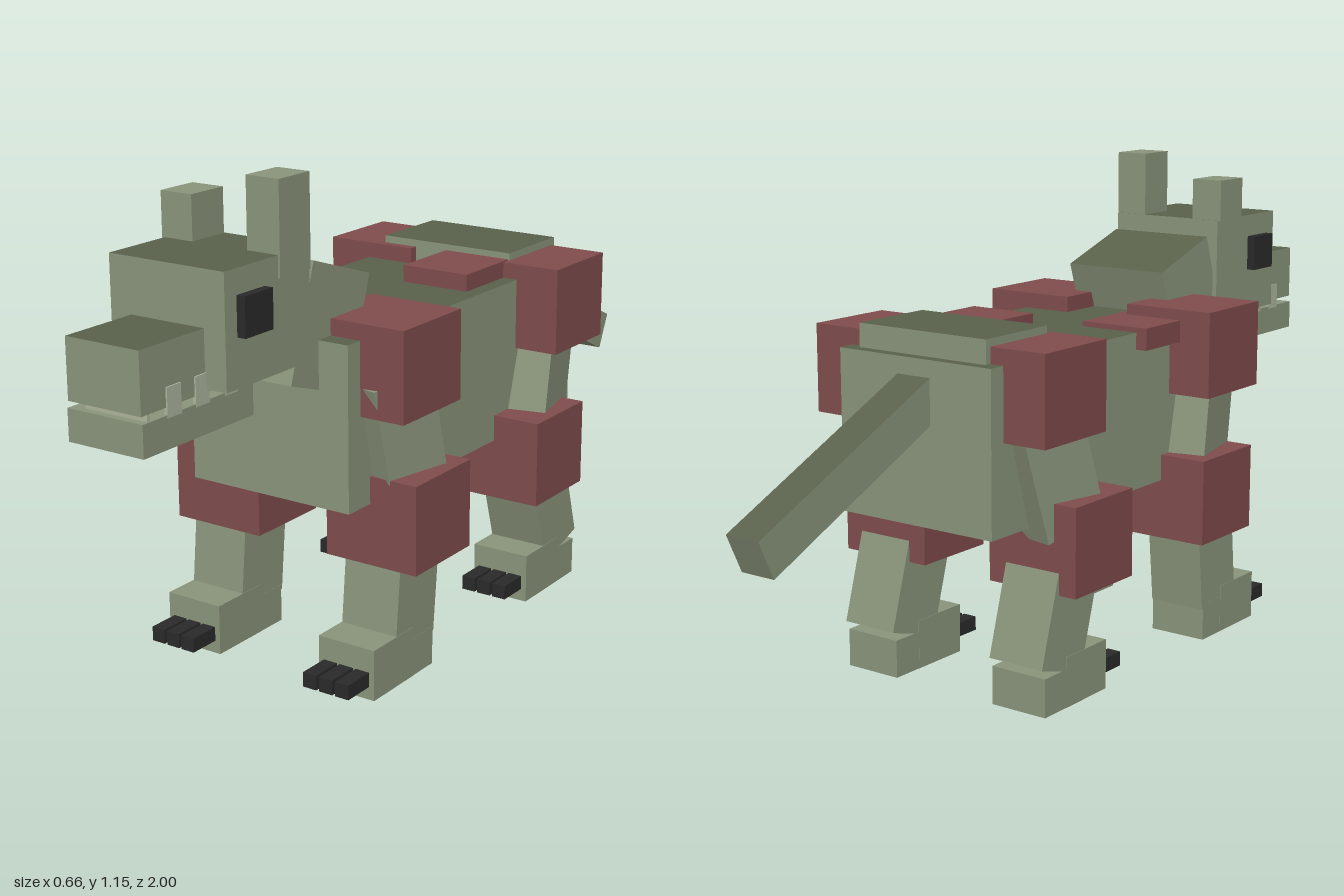
import * as THREE from 'three';

const material = (name, color) => {
  const m = new THREE.MeshStandardMaterial({ color });
  m.name = name;
  return m;
};

export function createModel() {
  const model = new THREE.Group();
  model.name = 'blockyBeast';

  const hide = material('mossHide', 0x8a957b);
  const back = material('darkBack', 0x59614b);
  const red = material('rawRed', 0x804c4c);
  const black = material('clawBlack', 0x2a2a2a);
  const bone = material('paleTeeth', 0xadb59d);
  // box faces in order +x, -x, +y, -y, +z, -z; the upper face is darker
  const topped = [hide, hide, back, hide, hide, hide];

  // box from centre and size, turned about x and y
  const box = (name, mat, [w, h, d], [x, y, z], tilt = 0, yaw = 0, parent = model) => {
    const mesh = new THREE.Mesh(new THREE.BoxGeometry(w, h, d), mat);
    mesh.name = name;
    mesh.position.set(x, y, z);
    mesh.rotation.set(tilt, yaw, 0, 'YXZ');
    parent.add(mesh);
    return mesh;
  };
  // box from its limits on each axis
  const span = (name, mat, [x0, x1], [y0, y1], [z0, z1], parent = model) =>
    box(name, mat, [x1 - x0, y1 - y0, z1 - z0],
      [(x0 + x1) / 2, (y0 + y1) / 2, (z0 + z1) / 2], 0, 0, parent);

  // Trunk, neck and tail
  span('body', topped, [-0.212, 0.212], [0.41, 0.785], [-0.47, 0.486]);
  span('rumpPlate', topped, [-0.178, 0.178], [0.76, 0.84], [-0.443, -0.227]);
  span('rightBackWound', red, [-0.24, -0.06], [0.745, 0.797], [0.075, 0.255]);
  span('leftBackWound', red, [0, 0.175], [0.765, 0.825], [-0.235, -0.04]);
  box('neck', topped, [0.273, 0.265, 0.213], [0, 0.8, 0.44], -0.32);
  box('tail', topped, [0.09, 0.096, 0.58], [0, 0.581, -0.712], -0.432);

  // Head
  const head = new THREE.Group();
  head.name = 'head';
  model.add(head);
  span('skull', topped, [-0.148, 0.148], [0.752, 0.998], [0.53, 0.807], head);
  span('snout', topped, [-0.094, 0.094], [0.745, 0.877], [0.78, 1], head);
  span('lowerJaw', hide, [-0.097, 0.097], [0.66, 0.73], [0.66, 1], head);
  span('leftEar', hide, [0.07, 0.153], [0.95, 1.153], [0.532, 0.635], head);
  span('rightEar', hide, [-0.155, -0.073], [0.996, 1.097], [0.532, 0.635], head);
  span('frontTeeth', bone, [-0.065, 0.094], [0.725, 0.75], [0.975, 0.983], head);

  for (const side of [1, -1]) {
    box('eye', black, [0.03, 0.086, 0.09], [side * 0.154, 0.901, 0.725], 0, 0, head);
    for (const z of [0.73, 0.82, 0.906]) {
      box('tooth', bone, [0.008, 0.063, 0.042], [side * 0.0935, 0.755, z], 0, 0, head);
    }
  }

  // Legs: z of each part, with the slant of the upper and lower limb
  const legs = [
    { name: 'frontLeg', shoulder: 0.33, knee: 0.297, upper: 0.325, lower: 0.329,
      upperTilt: 0.2, lowerTilt: -0.1, heel: 0.27, yaw: -0.22 },
    { name: 'hindLeg', shoulder: -0.316, knee: -0.22, upper: -0.29, lower: -0.282,
      upperTilt: -0.28, lowerTilt: 0.29, heel: -0.38, yaw: 0.22 },
  ];
  for (const l of legs) {
    for (const side of [1, -1]) {
      const leg = new THREE.Group();
      leg.name = l.name;
      model.add(leg);
      box('shoulder', red, [0.234, 0.205, 0.223], [side * 0.205, 0.72, l.shoulder], 0, 0, leg);
      box('upperLimb', hide, [0.13, 0.3, 0.17], [side * 0.215, 0.55, l.upper],
        l.upperTilt, side * l.yaw, leg);
      box('knee', red, [0.236, 0.205, 0.218], [side * 0.213, 0.37, l.knee], 0, 0, leg);
      box('lowerLimb', hide, [0.145, 0.25, 0.152], [side * 0.2135, 0.21, l.lower],
        l.lowerTilt, 0, leg);
      span('foot', hide, [side * 0.2135 - 0.0735, side * 0.2135 + 0.0735], [0, 0.118],
        [l.heel + 0.08, l.heel + 0.232], leg);
      span('heel', hide, [side * 0.2135 - 0.073, side * 0.2135 + 0.073], [0, 0.09],
        [l.heel, l.heel + 0.09], leg);
      for (const i of [-1, 0, 1]) {
        box('claw', black, [0.035, 0.034, 0.085],
          [side * 0.2135 + i * 0.0425, 0.047, l.heel + 0.267], 0, 0, leg);
      }
    }
  }
  return model;
}
